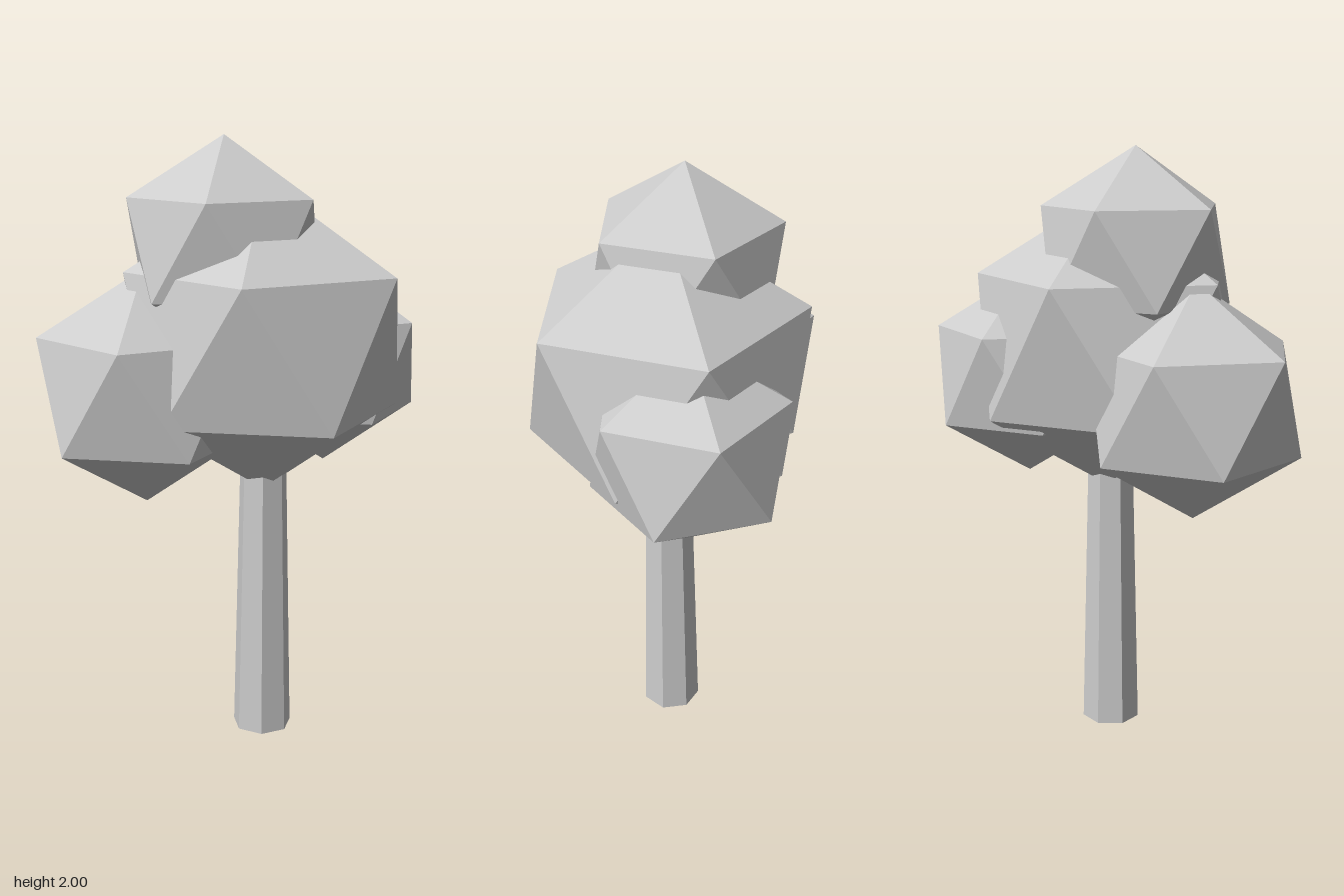
import * as THREE from 'three';

export function createModel() {
  const group = new THREE.Group();
  const grey = new THREE.MeshStandardMaterial({ color: 0xcccccc, flatShading: true });
  grey.name = 'light grey';

  // Tapered seven-sided trunk, its top buried in the crown
  const trunk = new THREE.Mesh(
    new THREE.CylinderGeometry(0.077, 0.1, 1, 7, 1, false, Math.PI), grey);
  trunk.name = 'trunk';
  trunk.position.set(0.108, 0.5, 0.017);
  group.add(trunk);

  // Foliage clumps: icosahedra standing on a vertex, upper ring pointing to +x
  const tilt = -Math.atan(2 / (1 + Math.sqrt(5)));
  const clumps = [
    ['mainFoliage', 0.503, 0.108, 1.355, 0.017],
    ['topFoliage', 0.344, -0.006, 1.656, 0.075],
    ['frontFoliage', 0.384, -0.218, 1.203, 0.223],
    ['backFoliage', 0.345, 0.206, 1.245, -0.25],
  ];
  for (const [name, radius, x, y, z] of clumps) {
    const geometry = new THREE.IcosahedronGeometry(radius, 0).rotateZ(tilt);
    const clump = new THREE.Mesh(geometry, grey);
    clump.name = name;
    clump.position.set(x, y, z);
    group.add(clump);
  }
  return group;
}
